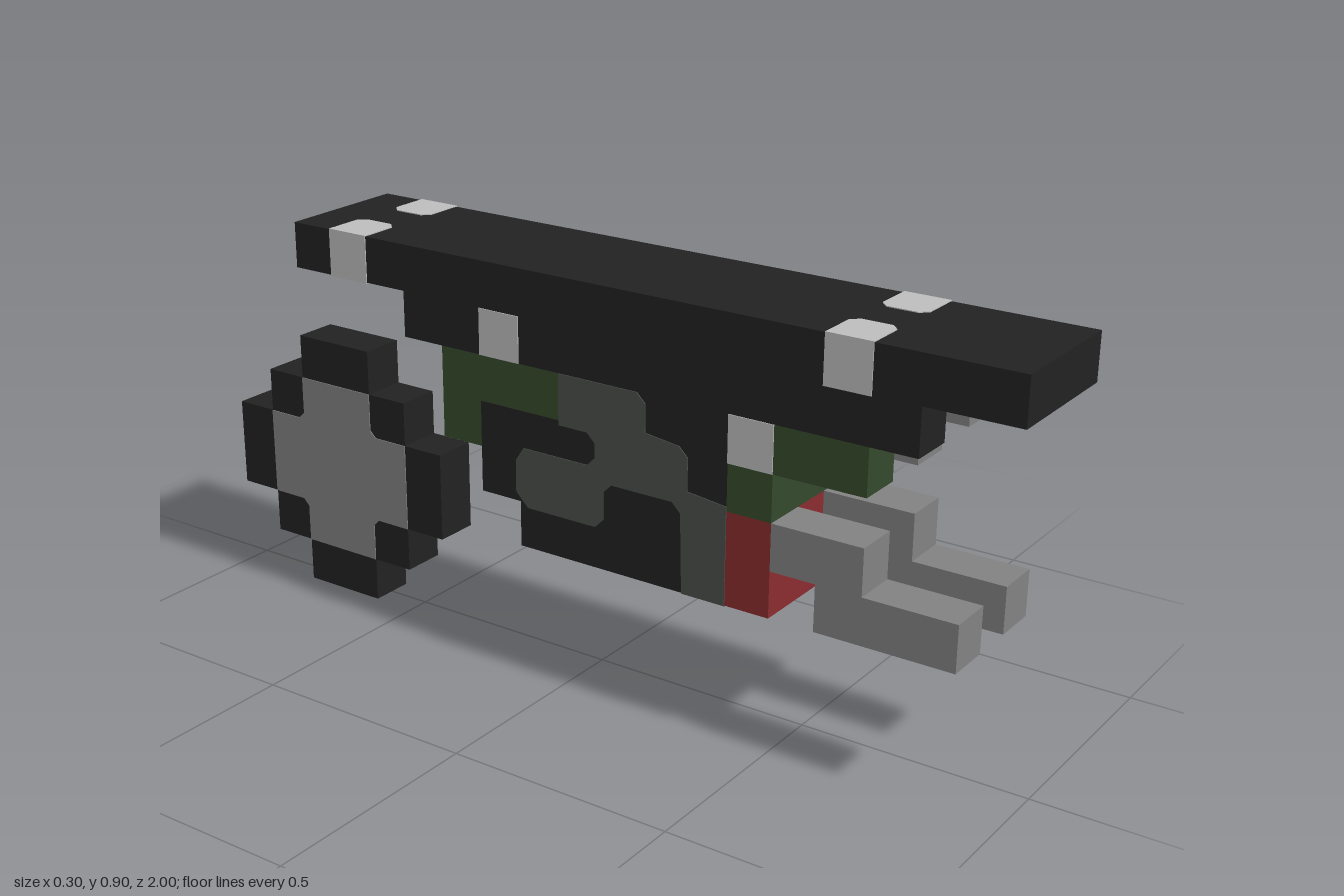
import * as THREE from 'three';

const mat = (name, color) => {
  const m = new THREE.MeshStandardMaterial({ color });
  m.name = name;
  return m;
};

export function createModel() {
  const model = new THREE.Group();
  model.name = 'voxelDevice';
  const black = mat('black', 0x222222);
  const grey = mat('grey', 0x828282);
  const white = mat('paleGrey', 0xbebebe);
  const green = mat('green', 0x344a2c);
  const red = mat('red', 0x8a2d2f);
  const camo = mat('camoGrey', 0x4a4f4b);

  const add = (name, geometry, material) => {
    const mesh = new THREE.Mesh(geometry, material);
    mesh.name = name;
    model.add(mesh);
    return mesh;
  };
  // Box given by its limits on each axis
  const box = (name, material, [x0, x1], [y0, y1], [z0, z1]) => {
    const g = new THREE.BoxGeometry(x1 - x0, y1 - y0, z1 - z0);
    g.translate((x0 + x1) / 2, (y0 + y1) / 2, (z0 + z1) / 2);
    return add(name, g, material);
  };
  const shape = (pts) => new THREE.Shape(pts.map(([a, b]) => new THREE.Vector2(a, b)));
  // Profile in (z, y), extruded symmetrically across x
  const across = (name, material, pts, half) => {
    const g = new THREE.ExtrudeGeometry(shape(pts), { depth: half * 2, bevelEnabled: false });
    g.rotateY(-Math.PI / 2).translate(half, 0, 0);
    return add(name, g, material);
  };
  // Outline in (x, z), extruded upward from y0 to y1
  const upright = (name, material, pts, y0, y1) => {
    const g = new THREE.ExtrudeGeometry(shape(pts.map(([x, z]) => [x, -z])), { depth: y1 - y0, bevelEnabled: false });
    g.rotateX(-Math.PI / 2).translate(0, y0, 0);
    return add(name, g, material);
  };
  const W = [-0.15, 0.15];

  // Long top bar and its mounting block
  box('topBar', black, W, [0.8, 0.9], [-0.7, 1]);
  box('mountBlock', black, W, [0.7, 0.8], [-0.4, 0.5]);

  // Pale clips wrapped round the bar, with cut inner corners
  for (const s of [1, -1]) {
    for (const z of [0.6, -0.6]) {
      upright('barClip', white, [
        [s * 0.152, z], [s * 0.152, z + 0.1], [s * 0.065, z + 0.1],
        [s * 0.048, z + 0.083], [s * 0.048, z + 0.017], [s * 0.065, z],
      ], 0.798, 0.902);
    }
    box('sideClip', white, s > 0 ? [0.145, 0.152] : [-0.152, -0.145], [0.7, 0.8], [-0.2, -0.1]);
  }
  box('sideClip', white, [-0.152, -0.145], [0.6, 0.7], [0.4, 0.5]);

  // Stepped main body
  across('body', black, [
    [0.4, 0.3], [0.4, 0.7], [0, 0.7], [0, 0.6], [-0.2, 0.6],
    [-0.2, 0.4], [-0.1, 0.4], [-0.1, 0.3],
  ], 0.15);
  across('rearGreenBlock', green, [
    [0, 0.6], [0, 0.7], [-0.3, 0.7], [-0.3, 0.5], [-0.2, 0.5], [-0.2, 0.6],
  ], 0.15);
  box('frontGreenBand', green, W, [0.5, 0.7], [0.4, 0.5]);
  box('frontRedBand', red, W, [0.3, 0.5], [0.4, 0.5]);

  // Camouflage patches showing on both sides
  across('sideCamo', camo, [
    [0.4, 0.3], [0.3, 0.3], [0.295, 0.47], [0.275, 0.49], [0.13, 0.49], [0.11, 0.47],
    [0.11, 0.41], [0.09, 0.39], [-0.08, 0.39], [-0.11, 0.42], [-0.11, 0.49], [-0.09, 0.52],
    [0.07, 0.52], [0.09, 0.54], [0.09, 0.57], [0.07, 0.59], [0, 0.59], [0, 0.7],
    [0.19, 0.7], [0.21, 0.68], [0.21, 0.62], [0.29, 0.61], [0.31, 0.59], [0.31, 0.52], [0.4, 0.51],
  ], 0.152);
  // Camouflage under and behind the body
  upright('bottomCamo', camo, [
    [-0.15, 0.4], [0.15, 0.4], [0.15, 0.3], [0.11, 0.28], [0.09, 0.26], [0.09, -0.03],
    [0.07, -0.05], [-0.07, -0.05], [-0.09, -0.03], [-0.09, 0.26], [-0.11, 0.28], [-0.15, 0.3],
  ], 0.298, 0.303);
  box('rearCamo', camo, [-0.05, 0.05], [0.4, 0.5], [-0.202, -0.195]);
  box('rearCamo', camo, [-0.05, 0.05], [0.3, 0.4], [-0.102, -0.095]);

  // Stepped front brackets: grey on the left, painted on the right
  box('leftBracketUpper', grey, [0.05, 0.15], [0.7, 0.8], [0.5, 0.8]);
  box('leftBracketLower', grey, [0.05, 0.15], [0.6, 0.7], [0.5, 0.7]);
  box('rightBracketUpper', black, [-0.15, -0.05], [0.7, 0.8], [0.5, 0.8]);
  box('rightBracketLower', green, [-0.15, -0.05], [0.6, 0.7], [0.5, 0.7]);

  // Pair of stepped front prongs
  for (const x of [0.05, -0.15]) {
    const prong = across('prong', grey, [
      [0.5, 0.4], [0.6, 0.4], [0.6, 0.3], [0.9, 0.3], [0.9, 0.4], [0.7, 0.4], [0.7, 0.5], [0.5, 0.5],
    ], 0.05);
    prong.position.x = x + 0.05;
  }

  // Detached blocky wheel: stacked rows with a cross-shaped hub
  for (const [y0, y1, r] of [[0, 0.1, 0.1], [0.1, 0.2, 0.2], [0.2, 0.4, 0.3], [0.4, 0.5, 0.2], [0.5, 0.6, 0.1]]) {
    box('wheelRow', black, [-0.05, 0.05], [y0, y1], [-0.7 - r, -0.7 + r]);
  }
  const quarter = [[0.2, 0.1], [0.115, 0.1], [0.1, 0.115], [0.1, 0.2]];
  const hub = [];
  for (let i = 0; i < 4; i++) {
    const c = Math.round(Math.cos(i * Math.PI / 2)), s = Math.round(Math.sin(i * Math.PI / 2));
    for (const [a, b] of quarter) hub.push([-0.7 + a * c - b * s, 0.3 + a * s + b * c]);
  }
  across('wheelHub', grey, hub, 0.052);

  return model;
}
